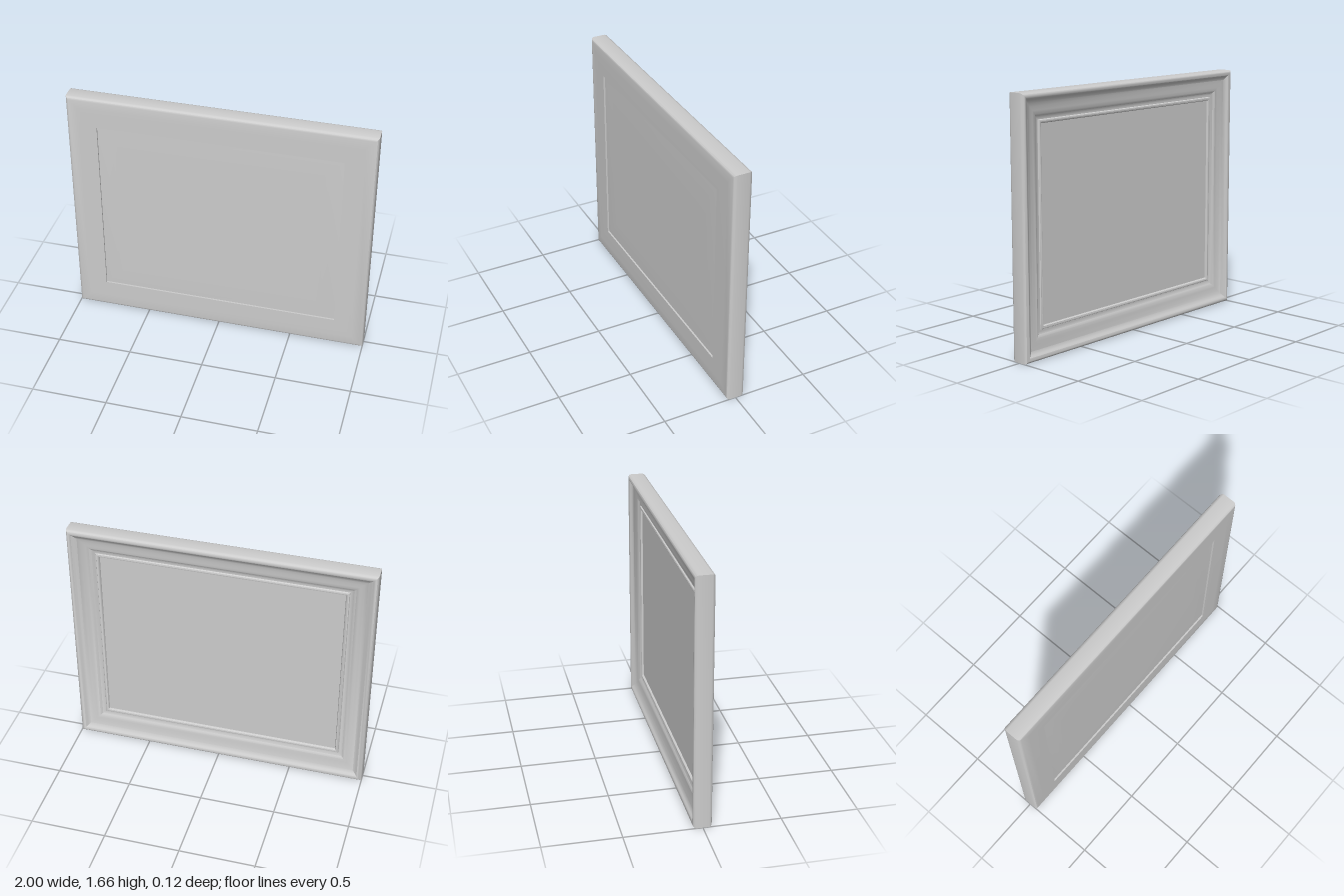
import * as THREE from 'three';
import { mergeGeometries, toCreasedNormals } from 'three/addons/utils/BufferGeometryUtils.js';

const W = 2, H = 1.66;

// Sweep a profile of [inset, z] points round the rectangle with mitred corners.
function mitredRing(profile) {
  const corners = [[-1, -1], [1, -1], [1, 1], [-1, 1]];
  const at = (k, [d, z]) => {
    const [sx, sy] = corners[k % 4];
    return [sx * (W / 2 - d), H / 2 + sy * (H / 2 - d), z];
  };
  const pos = [];
  for (let k = 0; k < 4; k++) {
    for (let j = 0; j < profile.length - 1; j++) {
      const a = at(k, profile[j]), b = at(k + 1, profile[j]);
      const c = at(k + 1, profile[j + 1]), d = at(k, profile[j + 1]);
      pos.push(...a, ...b, ...c, ...a, ...c, ...d);
    }
  }
  const g = new THREE.BufferGeometry();
  g.setAttribute('position', new THREE.Float32BufferAttribute(pos, 3));
  return g;
}

// Flat rectangle closing a ring at the given inset and depth.
function cap(inset, z, facesBack) {
  const g = new THREE.PlaneGeometry(W - 2 * inset, H - 2 * inset).toNonIndexed();
  g.deleteAttribute('uv');
  g.deleteAttribute('normal');
  if (facesBack) g.rotateY(Math.PI);
  return g.translate(0, H / 2, z);
}

const smooth = (g) => toCreasedNormals(g, 0.65);

export function createModel() {
  const grey = new THREE.MeshStandardMaterial({ color: 0xcccccc });
  grey.name = 'plain grey';
  const model = new THREE.Group();
  model.name = 'framedPanel';

  // Frame section: rounded outer edge, gentle front, then stepped cove at the back
  const frameProfile = [
    [0, -0.04], [0, 0.04], [0.003, 0.05], [0.009, 0.057], [0.02, 0.0605], [0.08, 0.062], [0.2, 0.0625],
    [0.2, -0.005], [0.195, -0.013], [0.187, -0.016], [0.179, -0.013], [0.175, -0.005],
    [0.165, -0.005], [0.15, -0.012], [0.135, -0.022], [0.115, -0.025],
    [0.09, -0.029], [0.065, -0.037], [0.045, -0.049], [0.034, -0.058],
    [0.027, -0.0615], [0.018, -0.0625], [0.009, -0.058], [0.003, -0.051], [0, -0.04],
  ];
  const frame = new THREE.Mesh(smooth(mitredRing(frameProfile)), grey);
  frame.name = 'frame';

  // Inset panel with a shallow raised field on the front and a flat back
  const panelProfile = [[0.2, 0], [0.2, 0.051], [0.25, 0.053], [0.3, 0.0545], [0.34, 0.055]];
  const panel = new THREE.Mesh(
    smooth(mergeGeometries([
      (() => { const g = mitredRing(panelProfile); return g; })(),
      cap(0.34, 0.055, false),
      cap(0.2, 0, true),
    ])), grey);
  panel.name = 'panel';

  model.add(frame, panel);
  return model;
}
